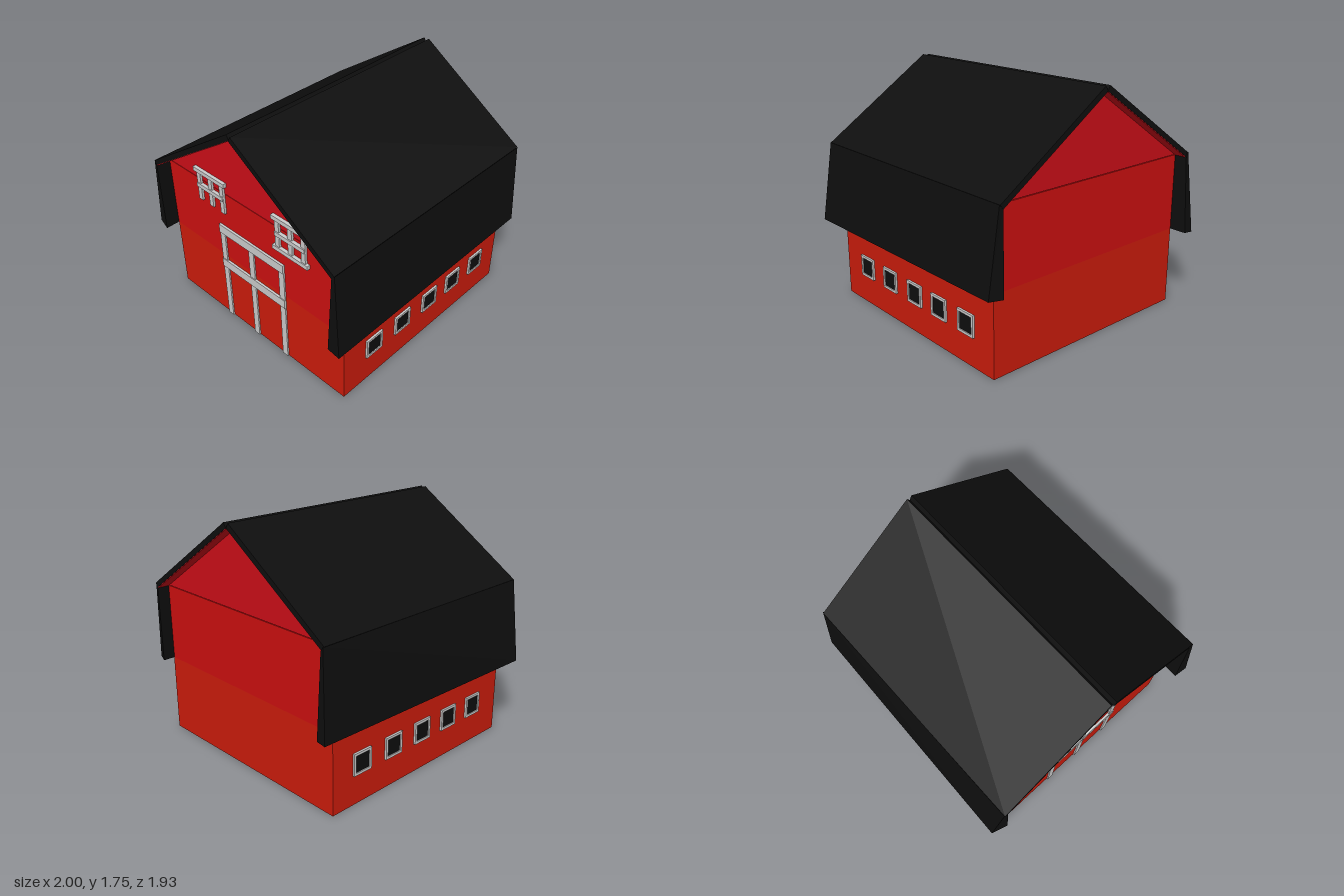
import * as THREE from 'three';

const mat = (color) => new THREE.MeshStandardMaterial({ color, flatShading: true });

export function createModel() {
  const barn = new THREE.Group();
  barn.name = 'barn';
  const lowerRed = mat(0xcc1c0c), upperRed = mat(0xcc1010), gableRed = mat(0xcc0e18);
  const black = mat(0x0e0e0e), grey = mat(0xcccccc);

  function add(name, geometry, material, parent = barn) {
    const mesh = new THREE.Mesh(geometry, material);
    mesh.name = name;
    parent.add(mesh);
    return mesh;
  }

  // box given by its limits on each axis
  function box(name, [x0, x1], [y0, y1], [z0, z1], material, parent) {
    const m = add(name, new THREE.BoxGeometry(x1 - x0, y1 - y0, z1 - z0), material, parent);
    m.position.set((x0 + x1) / 2, (y0 + y1) / 2, (z0 + z1) / 2);
    return m;
  }

  // solid between two end sections, corners counter-clockwise seen from +x
  function loft(name, a, b, material) {
    const n = a.length, pos = [];
    const tri = (...p) => p.forEach((v) => pos.push(...v));
    for (let i = 0; i < n; i++) {
      const j = (i + 1) % n;
      tri(a[i], a[j], b[j]);
      tri(a[i], b[j], b[i]);
      if (i > 0 && j > 0) {
        tri(b[0], b[i], b[j]);
        tri(a[0], a[j], a[i]);
      }
    }
    const g = new THREE.BufferGeometry();
    g.setAttribute('position', new THREE.Float32BufferAttribute(pos, 3));
    g.computeVertexNormals();
    return add(name, g, material);
  }

  // straight extrusion along x of [y, z] points
  const prism = (name, pts, x0, x1, material) =>
    loft(name, pts.map((p) => [x0, ...p]), pts.map((p) => [x1, ...p]), material);

  // walls
  const wx = [-0.845, 0.865], wz = [-0.845, 0.865];
  box('lowerWalls', wx, [0, 0.575], wz, lowerRed);
  box('upperWalls', wx, [0.575, 1.137], wz, upperRed);
  prism('gable', [[1.141, 0.865], [1.141, -0.845], [1.71, 0.01]], ...wx, gableRed);

  // upper roof slabs with red soffits
  prism('frontRoof', [[1.14, 0.867], [1.71, 0.01], [1.745, 0.03], [1.17, 0.888]], -0.96, 0.955, black);
  prism('backRoof', [[1.17, -0.868], [1.745, -0.01], [1.71, 0.01], [1.14, -0.847]], -0.953, 0.953, black);
  prism('frontSoffit', [[1.135, 0.865], [1.705, 0.01], [1.71, 0.01], [1.14, 0.867]], -0.957, 0.952, gableRed);
  prism('backSoffit', [[1.14, -0.847], [1.71, 0.01], [1.705, 0.01], [1.135, -0.845]], -0.95, 0.95, gableRed);

  // steep lower roof skirts, slightly skewed at their ends
  loft('frontSkirt',
    [[-0.96, 1.14, 0.865], [-0.96, 1.17, 0.89], [-1, 0.575, 0.965], [-0.99, 0.575, 0.86]],
    [[0.955, 1.14, 0.865], [0.95, 1.17, 0.89], [0.92, 0.575, 0.952], [0.955, 0.575, 0.86]], black);
  loft('backSkirt',
    [[-0.955, 0.575, -0.845], [-0.92, 0.57, -0.965], [-0.95, 1.17, -0.87], [-0.955, 1.14, -0.845]],
    [[0.995, 0.575, -0.845], [1, 0.57, -0.918], [0.96, 1.17, -0.865], [0.96, 1.14, -0.845]], black);

  // rows of small square windows on both long walls
  function squareFrame(size, border, depth) {
    const h = size / 2, k = h - border;
    const s = new THREE.Shape([[-h, -h], [h, -h], [h, h], [-h, h]].map((p) => new THREE.Vector2(...p)));
    s.holes.push(new THREE.Path([[-k, -k], [-k, k], [k, k], [k, -k]].map((p) => new THREE.Vector2(...p))));
    return new THREE.ExtrudeGeometry(s, { depth, bevelEnabled: false });
  }
  const frameGeo = squareFrame(0.158, 0.018, 0.015);
  const paneGeo = new THREE.BoxGeometry(0.13, 0.13, 0.01);
  const rows = [
    { side: 'front', z: 0.865, turn: 0, xs: [-0.555, -0.26, 0.04, 0.315, 0.6] },
    { side: 'back', z: -0.845, turn: Math.PI, xs: [-0.55, -0.265, 0.02, 0.313, 0.61] },
  ];
  for (const { side, z, turn, xs } of rows) {
    for (const x of xs) {
      const w = new THREE.Group();
      w.name = side + 'Window';
      add('windowFrame', frameGeo, grey, w);
      add('windowPane', paneGeo, black, w).position.z = 0.003;
      w.position.set(x, 0.293, z);
      w.rotation.y = turn;
      barn.add(w);
    }
  }

  // double door frame on the -x end
  const door = new THREE.Group();
  door.name = 'doorFrame';
  barn.add(door);
  for (const z of [-0.29, 0.005, 0.305])
    box('doorPost', [-0.856, -0.84], [0, 0.84], [z - 0.025, z + 0.025], grey, door);
  for (const y of [0.505, 0.815])
    box('doorBeam', [-0.862, -0.84], [y - 0.035, y + 0.035], [-0.315, 0.33], grey, door);

  // loft windows above the door
  for (const [name, z, beams] of [['backLoftWindow', -0.37, [1.1, 1.22]], ['frontLoftWindow', 0.41, [0.98, 1.1, 1.22]]]) {
    const w = new THREE.Group();
    w.name = name;
    barn.add(w);
    for (const dz of [-0.118, 0, 0.118])
      box('windowBar', [-0.862, -0.84], [0.975, 1.22], [z + dz - 0.019, z + dz + 0.019], grey, w);
    for (const y of beams) {
      const half = y === 1.1 ? 0.135 : 0.16;
      box('windowBeam', [-0.87, -0.84], [y - 0.016, y + 0.016], [z - half, z + half], grey, w);
    }
  }
  return barn;
}
